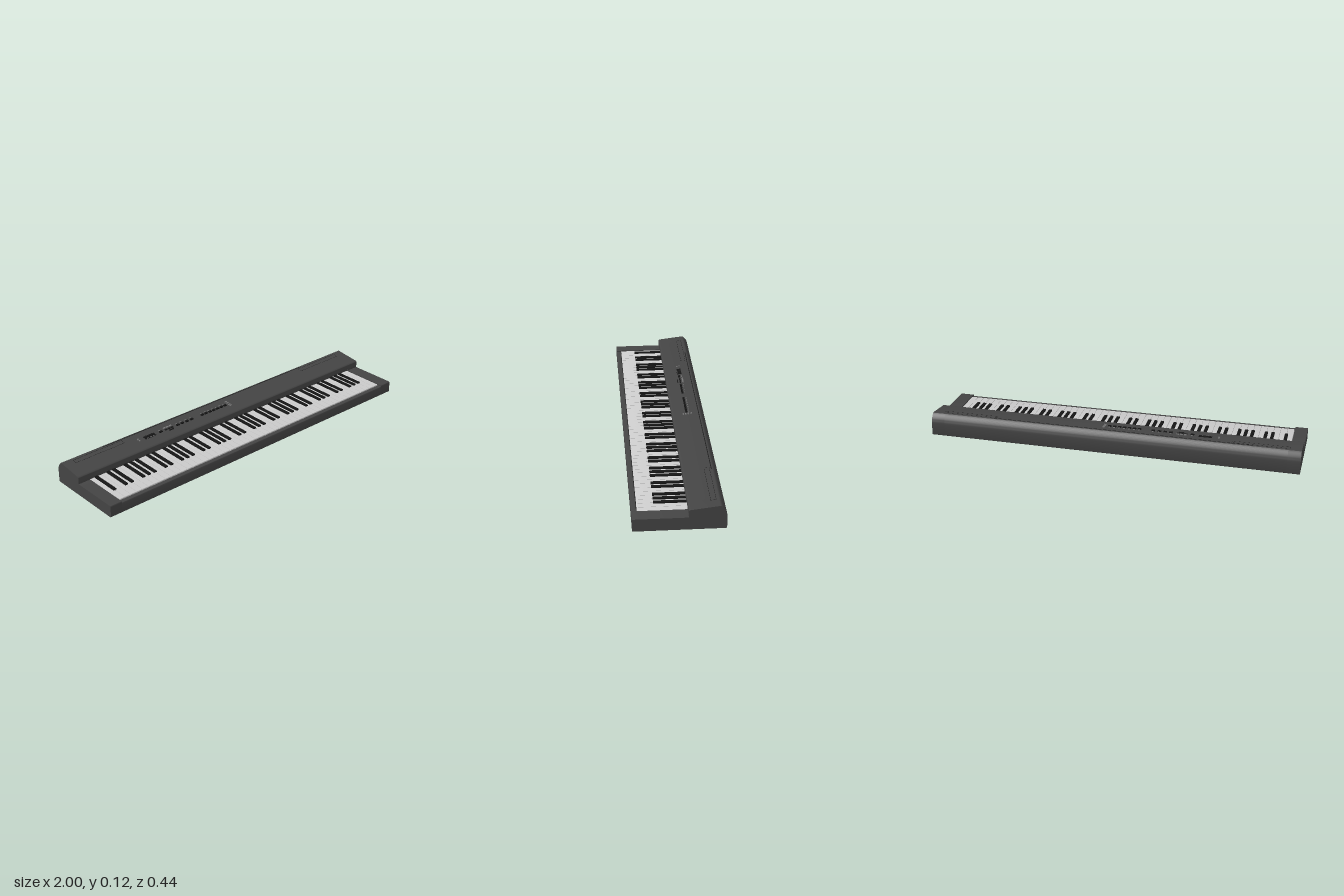
import * as THREE from 'three';
import { toCreasedNormals } from 'three/addons/utils/BufferGeometryUtils.js';

const material = (color) => new THREE.MeshStandardMaterial({ color });
const bodyMat = material(0x444444);
const darkMat = material(0x1c1c1c);
const blackMat = material(0x151515);
const keyMat = material(0xcccccc);
const buttonMat = material(0x777777);

const KEY_LEFT = -0.93, KEY_RIGHT = 0.925, WHITE_COUNT = 52;
const PITCH = (KEY_RIGHT - KEY_LEFT) / WHITE_COUNT;

// Extrudes a side profile (drawn with horizontal = -z) along x
function extrudeX(shape, x0, x1) {
  const geo = new THREE.ExtrudeGeometry(shape, { depth: x1 - x0, bevelEnabled: false, curveSegments: 8 });
  geo.rotateY(Math.PI / 2).translate(x0, 0, 0);
  return toCreasedNormals(geo, 0.6);
}

function add(parent, name, geo, mat) {
  const mesh = new THREE.Mesh(geo, mat);
  mesh.name = name;
  parent.add(mesh);
  return mesh;
}

// Side profile; with a key well it has a low front rail and a sunken floor
function bodyProfile(withWell) {
  const top = withWell ? 0.057 : 0.065;
  const s = new THREE.Shape();
  s.moveTo(-0.214, 0);
  s.lineTo(0.214, 0);
  s.quadraticCurveTo(0.222, 0, 0.222, 0.008);
  s.lineTo(0.222, 0.066);
  s.bezierCurveTo(0.222, 0.088, 0.209, 0.106, 0.197, 0.118);
  s.quadraticCurveTo(0.193, 0.122, 0.186, 0.121);
  s.lineTo(0.052, 0.105);
  s.quadraticCurveTo(0.043, 0.104, 0.043, 0.097);
  if (withWell) {
    s.lineTo(0.043, 0.074);
    s.lineTo(0.05, 0.074);
    s.lineTo(0.05, 0.03);
    s.lineTo(-0.198, 0.03);
    s.lineTo(-0.198, top);
  } else {
    s.lineTo(0.043, top);
  }
  s.lineTo(-0.216, top);
  s.quadraticCurveTo(-0.222, top, -0.222, top - 0.006);
  s.lineTo(-0.222, 0.008);
  s.quadraticCurveTo(-0.222, 0, -0.214, 0);
  return s;
}

// White key with a rounded front lip
function whiteKeyGeometry(width) {
  const s = new THREE.Shape();
  s.moveTo(-0.193, 0.032);
  s.lineTo(0.049, 0.032);
  s.lineTo(0.049, 0.062);
  s.lineTo(-0.191, 0.062);
  s.quadraticCurveTo(-0.195, 0.062, -0.195, 0.058);
  s.lineTo(-0.193, 0.032);
  return extrudeX(s, -width / 2, width / 2);
}

// Black key: a box narrowed at the top and sloped at the front
function blackKeyGeometry() {
  const geo = new THREE.BoxGeometry(0.021, 0.03, 0.165);
  const p = geo.attributes.position;
  for (let i = 0; i < p.count; i++) {
    if (p.getY(i) > 0) {
      p.setX(i, p.getX(i) * 0.78);
      if (p.getZ(i) > 0) p.setZ(i, p.getZ(i) - 0.005);
    }
  }
  geo.translate(0, 0.054, 0.0355);
  const flat = geo.toNonIndexed();
  flat.computeVertexNormals();
  return flat;
}

export function createModel() {
  const root = new THREE.Group();
  root.name = 'stagePiano';

  // Casing: two end blocks and the middle with its key well
  add(root, 'rightEndBlock', extrudeX(bodyProfile(false), -1, KEY_LEFT - 0.002), bodyMat);
  add(root, 'middleCasing', extrudeX(bodyProfile(true), KEY_LEFT - 0.002, KEY_RIGHT + 0.002), bodyMat);
  add(root, 'leftEndBlock', extrudeX(bodyProfile(false), KEY_RIGHT + 0.002, 1), bodyMat);
  add(root, 'wellLining', new THREE.BoxGeometry(KEY_RIGHT - KEY_LEFT, 0.002, 0.245).translate(0, 0.031, 0.074), darkMat);

  // Keyboard
  const keys = new THREE.Group();
  keys.name = 'keyboard';
  root.add(keys);
  const whiteGeo = whiteKeyGeometry(PITCH - 0.0018);
  const blackGeo = blackKeyGeometry();
  const hasSharp = [true, false, true, true, false, true, true]; // A B C D E F G
  for (let i = 0; i < WHITE_COUNT; i++) {
    add(keys, 'whiteKey', whiteGeo, keyMat).position.x = KEY_LEFT + (i + 0.5) * PITCH;
    if (hasSharp[i % 7] && i < WHITE_COUNT - 1) {
      add(keys, 'blackKey', blackGeo, blackMat).position.x = KEY_LEFT + (i + 1) * PITCH;
    }
  }

  // Sloped control panel: local z = 0 and y = 0 lie on the top surface
  const panel = new THREE.Group();
  panel.name = 'controlPanel';
  panel.position.set(0, 0.1137, -0.125);
  panel.rotation.x = Math.atan2(0.016, 0.134);
  root.add(panel);
  const onPanel = (name, x, z, w, h, d, mat) =>
    add(panel, name, new THREE.BoxGeometry(w, h, d), mat).position.set(x, h / 2 - 0.001, z + 0.125);

  // Music rest slot and the two end panels, outlined with thin strips
  onPanel('musicRestSlot', -0.045, -0.185, 1.41, 0.0015, 0.004, darkMat);
  for (const side of [-1, 1]) {
    for (const z of [-0.176, -0.15]) onPanel('endPanelEdge', side * 0.79, z, 0.3, 0.0014, 0.0015, darkMat);
    for (const x of [0.64, 0.94]) onPanel('endPanelEdge', side * x, -0.163, 0.0015, 0.0014, 0.026, darkMat);
  }

  // Volume slider and power marks
  onPanel('powerButton', -0.566, -0.133, 0.008, 0.006, 0.008, buttonMat);
  onPanel('powerLight', -0.566, -0.119, 0.008, 0.005, 0.008, buttonMat);
  onPanel('sliderSlot', -0.495, -0.125, 0.07, 0.002, 0.026, blackMat);
  for (const x of [-0.515, -0.495, -0.475]) {
    onPanel('sliderCap', x, -0.13, 0.012, 0.007, 0.009, darkMat);
    onPanel('sliderMark', x, -0.115, 0.01, 0.004, 0.003, buttonMat);
  }

  // Button rows with their small lights
  const buttonXs = [-0.425, -0.31, -0.28, -0.248, -0.215];
  for (let i = 0; i < 7; i++) buttonXs.push(-0.14 + i * 0.027);
  for (const x of buttonXs) {
    onPanel('button', x, -0.121, 0.018, 0.007, 0.011, blackMat);
    onPanel('buttonLight', x, -0.135, 0.009, 0.004, 0.004, buttonMat);
  }
  for (const x of [-0.39, -0.37, -0.35]) {
    onPanel('selectorButton', x, -0.137, 0.014, 0.006, 0.008, buttonMat);
    onPanel('selectorButton', x, -0.122, 0.014, 0.006, 0.008, darkMat);
  }
  onPanel('selectorBar', -0.365, -0.107, 0.03, 0.006, 0.006, darkMat);
  for (const z of [-0.145, -0.13, -0.115, -0.103]) onPanel('endButton', 0.05, z, 0.012, 0.006, 0.007, buttonMat);

  return root;
}
